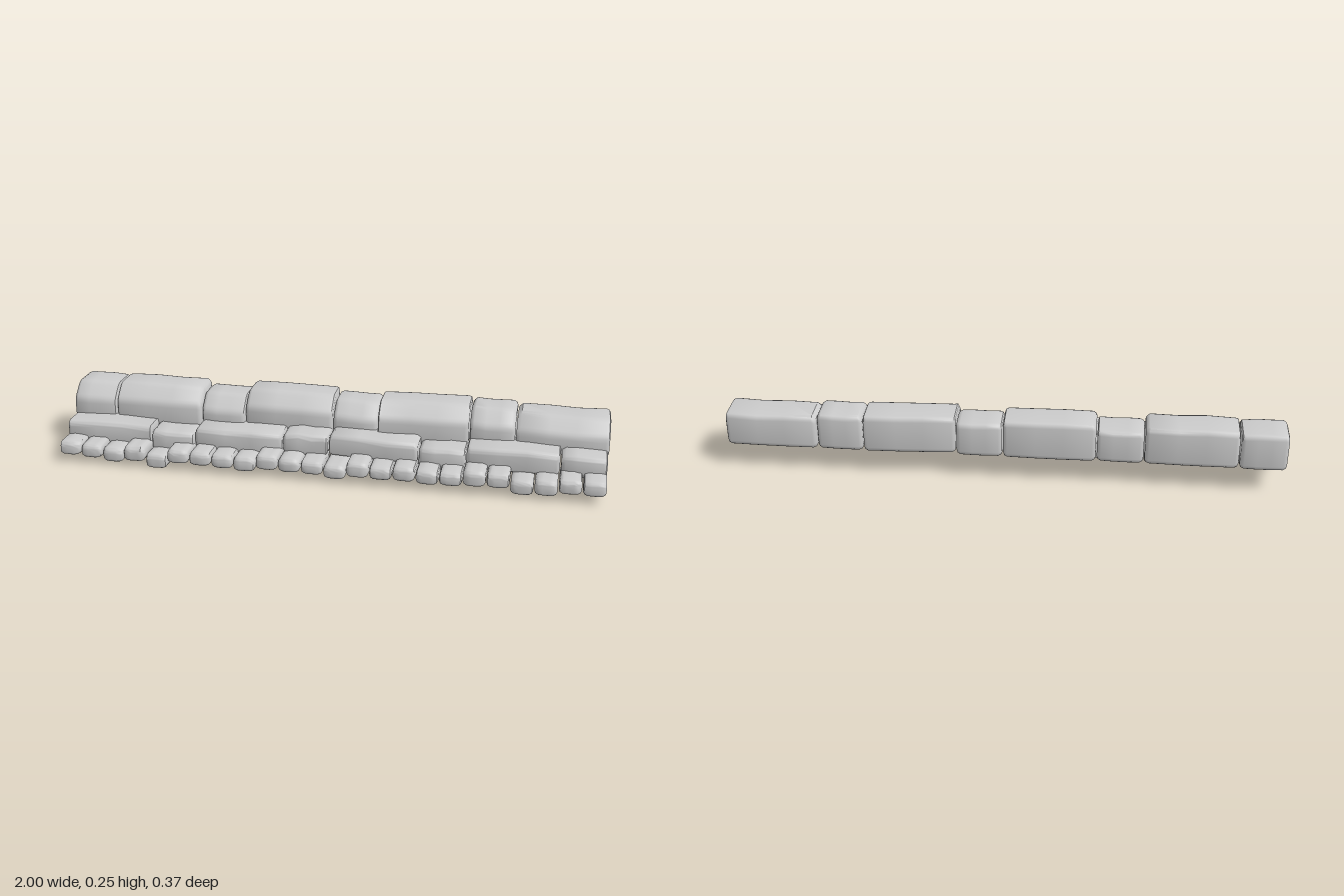
import * as THREE from 'three';
import { toCreasedNormals } from 'three/addons/utils/BufferGeometryUtils.js';

const material = new THREE.MeshStandardMaterial({ color: 0xcccccc });

let seed = 7;
const rand = (a) => {
  seed = (seed * 16807) % 2147483647;
  return (seed / 2147483647 * 2 - 1) * a;
};

// Rounds every corner of a closed [z, y] outline.
function roundOutline(corners, r) {
  const out = [];
  corners.forEach((c, i) => {
    const p = new THREE.Vector2(...c);
    const toward = (q) => {
      const d = new THREE.Vector2(...q).sub(p);
      return p.clone().addScaledVector(d.normalize(), r);
    };
    const a = toward(corners.at(i - 1));
    const b = toward(corners[(i + 1) % corners.length]);
    out.push(...new THREE.QuadraticBezierCurve(a, p, b).getPoints(3));
  });
  return out;
}

// One worn block: an outline lofted along x, drawn in at both ends, slightly uneven.
function stone(name, s) {
  const { x0, x1, y0, y1, z0, z1, cut = 0, r = 0.018, yaw = 0, drop = 0, wear = 0.003 } = s;
  const top = cut
    ? [[z1 - cut, y1], [z1, y1 - cut * 0.93]]
    : [[z1 - 0.012, y1], [z1, y1 - 0.014]];
  const outline = roundOutline([[z1, y0], [z0, y0 - drop], [z0, y1 - drop - 0.004], ...top], cut ? r : Math.min(r, 0.008));
  const n = outline.length, w = x1 - x0;
  const cz = (z0 + z1) / 2, cy = (y0 + y1) / 2;
  const stations = [[0, 0.012], [0.004, 0.005], [0.014, 0.001], [w * 0.35, 0], [w * 0.65, 0],
    [w - 0.014, 0.001], [w - 0.004, 0.005], [w, 0.012]];
  const pos = [], index = [];
  stations.forEach(([dx, inset]) => {
    const dt = rand(wear), df = rand(wear);
    const sz = 1 - inset / ((z1 - z0) / 2), sy = 1 - inset / ((y1 - y0) / 2);
    for (const p of outline) {
      const z = cz + (p.x - cz) * sz + (p.x > cz ? df : 0) + yaw * (dx / w - 0.5);
      const y = cy + (p.y - cy) * sy + (p.y > cy ? dt : 0);
      pos.push(x0 + dx, y, z);
    }
  });
  const last = (stations.length - 1) * n, cap = stations.length * n;
  pos.push(x0, cy, cz - yaw / 2, x1, cy, cz + yaw / 2);
  for (let j = 0; j < n; j++) {
    const k = (j + 1) % n;
    for (let i = 0; i < last; i += n) {
      index.push(i + j, i + k, i + n + k, i + j, i + n + k, i + n + j);
    }
    index.push(cap, k, j, cap + 1, last + j, last + k);
  }
  const geometry = new THREE.BufferGeometry();
  geometry.setAttribute('position', new THREE.Float32BufferAttribute(pos, 3));
  geometry.setIndex(index);
  const mesh = new THREE.Mesh(toCreasedNormals(geometry, 0.75), material);
  mesh.name = name;
  return mesh;
}

export function createModel() {
  const group = new THREE.Group();
  group.name = 'steppedStoneCornice';
  const addRow = (name, joints, spec) => {
    const row = new THREE.Group();
    row.name = name;
    for (let i = 0; i < joints.length - 1; i++) {
      row.add(stone(`${name}Stone${i + 1}`, { x0: joints[i] + 0.002, x1: joints[i + 1] - 0.002, ...spec(i) }));
    }
    group.add(row);
  };

  // Large coping stones with a sloped front edge
  const copingTops = [0.24, 0.243, 0.226, 0.246, 0.231, 0.246, 0.24, 0.228];
  addRow('coping', [-1, -0.832, -0.5, -0.332, 0, 0.167, 0.5, 0.667, 1], (i) => ({
    y0: 0.097, y1: copingTops[i],
    z0: -0.182 + rand(0.003), z1: -0.01 + rand(0.006),
    cut: 0.058, yaw: i === 5 ? -0.018 : rand(0.003),
  }));

  // Middle course
  const middleTops = [0.131, 0.117, 0.135, 0.14, 0.141, 0.124, 0.138, 0.133];
  const middleFronts = [0.09, 0.098, 0.09, 0.09, 0.088, 0.09, 0.088, 0.09];
  addRow('middleCourse', [-0.995, -0.665, -0.5, -0.168, 0, 0.33, 0.5, 0.832, 0.995], (i) => ({
    y0: middleTops[i] - 0.078 + rand(0.004), y1: middleTops[i],
    z0: -0.075 + rand(0.01), z1: middleFronts[i],
    yaw: i === 4 ? 0.022 : rand(0.004),
  }));

  // Row of small supporting blocks, some hanging lower
  const joints = Array.from({ length: 25 }, (_, i) => -0.995 + i * 1.99 / 24);
  const low = { 2: 0.018, 4: 0.006, 8: 0.022, 12: 0.02, 20: 0.016, 21: 0.02 };
  addRow('supportBlocks', joints, (i) => {
    const y0 = low[i] ?? 0.031 + rand(0.004);
    return {
      y0, y1: y0 + 0.051 + rand(0.004),
      z0: 0.022 + rand(0.005), z1: 0.182 + rand(0.002),
      drop: i in low ? 0.005 : 0.002, wear: 0.0015,
    };
  });
  return group;
}
